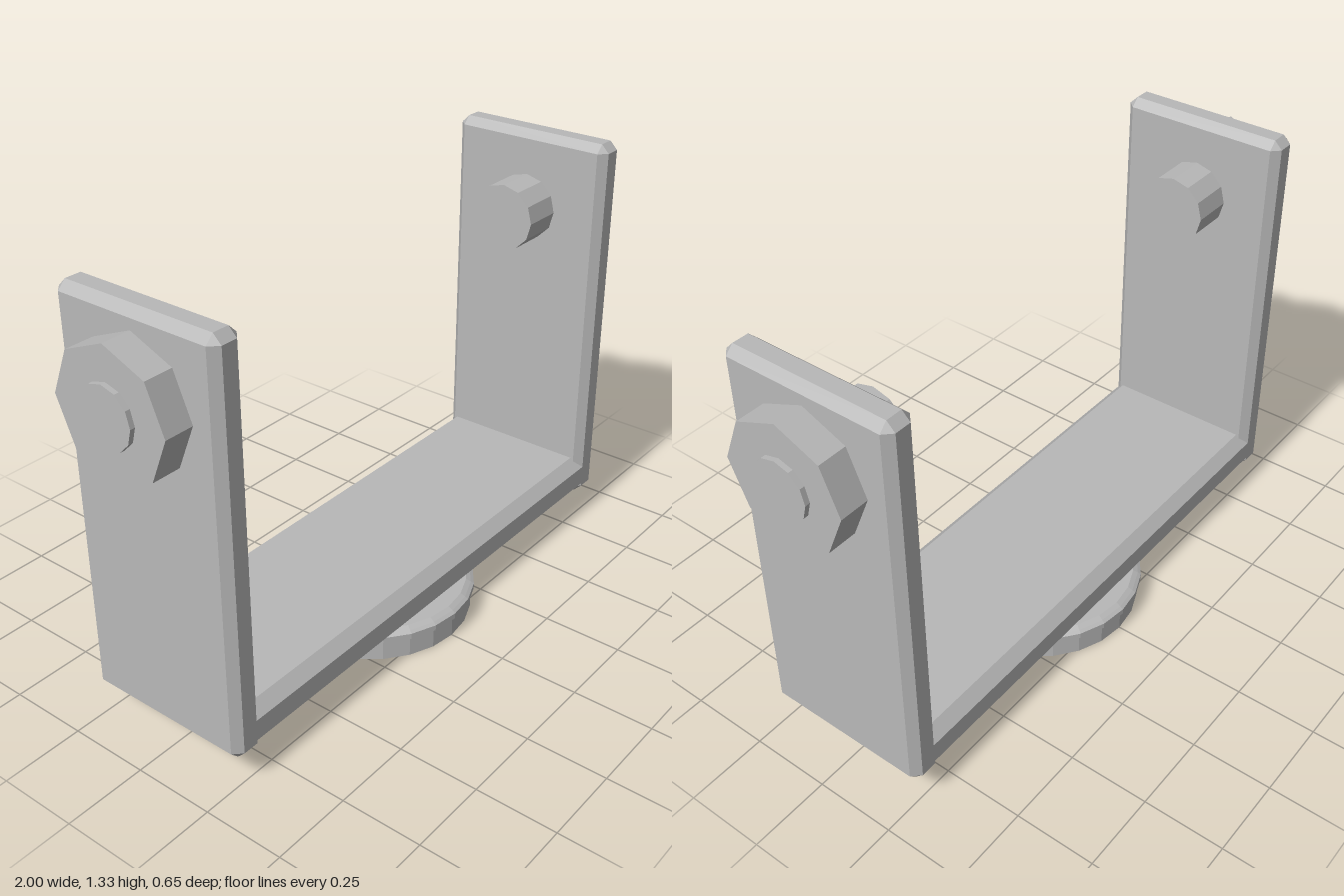
import * as THREE from 'three';
import { ConvexGeometry } from 'three/addons/geometries/ConvexGeometry.js';

const grey = new THREE.MeshStandardMaterial({ color: 0xb8b8b8, flatShading: true });
grey.name = 'plain grey';

function part(name, geometry, x, y, z = 0) {
  const mesh = new THREE.Mesh(geometry, grey);
  mesh.name = name;
  mesh.position.set(x, y, z);
  return mesh;
}

// Box with all edges and corners cut by c
function chamferBox(w, h, d, c) {
  const half = [w / 2, h / 2, d / 2];
  const points = [];
  for (const sx of [-1, 1]) for (const sy of [-1, 1]) for (const sz of [-1, 1]) {
    for (let axis = 0; axis < 3; axis++) {
      const p = half.map((v, i) => (i === axis ? v : v - c));
      points.push(new THREE.Vector3(sx * p[0], sy * p[1], sz * p[2]));
    }
  }
  return new ConvexGeometry(points);
}

// Faceted cylinder along x, with a corner pointing straight up
function rodX(radius, length, sides) {
  return new THREE.CylinderGeometry(radius, radius, length, sides).rotateZ(Math.PI / 2);
}

export function createModel() {
  const model = new THREE.Group();
  model.name = 'yokeBracket';

  // Crossbar
  model.add(part('crossbar', chamferBox(1.74, 0.135, 0.54, 0.035), 0, 0.1625));

  // Round foot with a slightly wider collar
  const footProfile = [
    [0, 0], [0.315, 0], [0.315, 0.067], [0.325, 0.067],
    [0.325, 0.085], [0.315, 0.092], [0.3, 0.1], [0, 0.1],
  ].map(([r, y]) => new THREE.Vector2(r, y));
  model.add(part('foot', new THREE.LatheGeometry(footProfile, 24), 0, 0));

  // Arms, each with a pivot pin, an eight-sided nut and a stub end
  for (const [side, s] of [['left', 1], ['right', -1]]) {
    const arm = new THREE.Group();
    arm.name = side + 'Arm';
    arm.add(
      part(side + 'Plate', chamferBox(0.1, 1.23, 0.54, 0.025), s * 0.847, 0.71),
      part(side + 'PivotPin', rodX(0.106, 0.165, 12), s * 0.7475, 1.08),
      part(side + 'Nut', rodX(0.188, 0.105, 8), s * 0.9325, 1.08),
      part(side + 'PinEnd', rodX(0.089, 0.04, 12), s * 0.98, 1.08),
    );
    model.add(arm);
  }
  return model;
}
